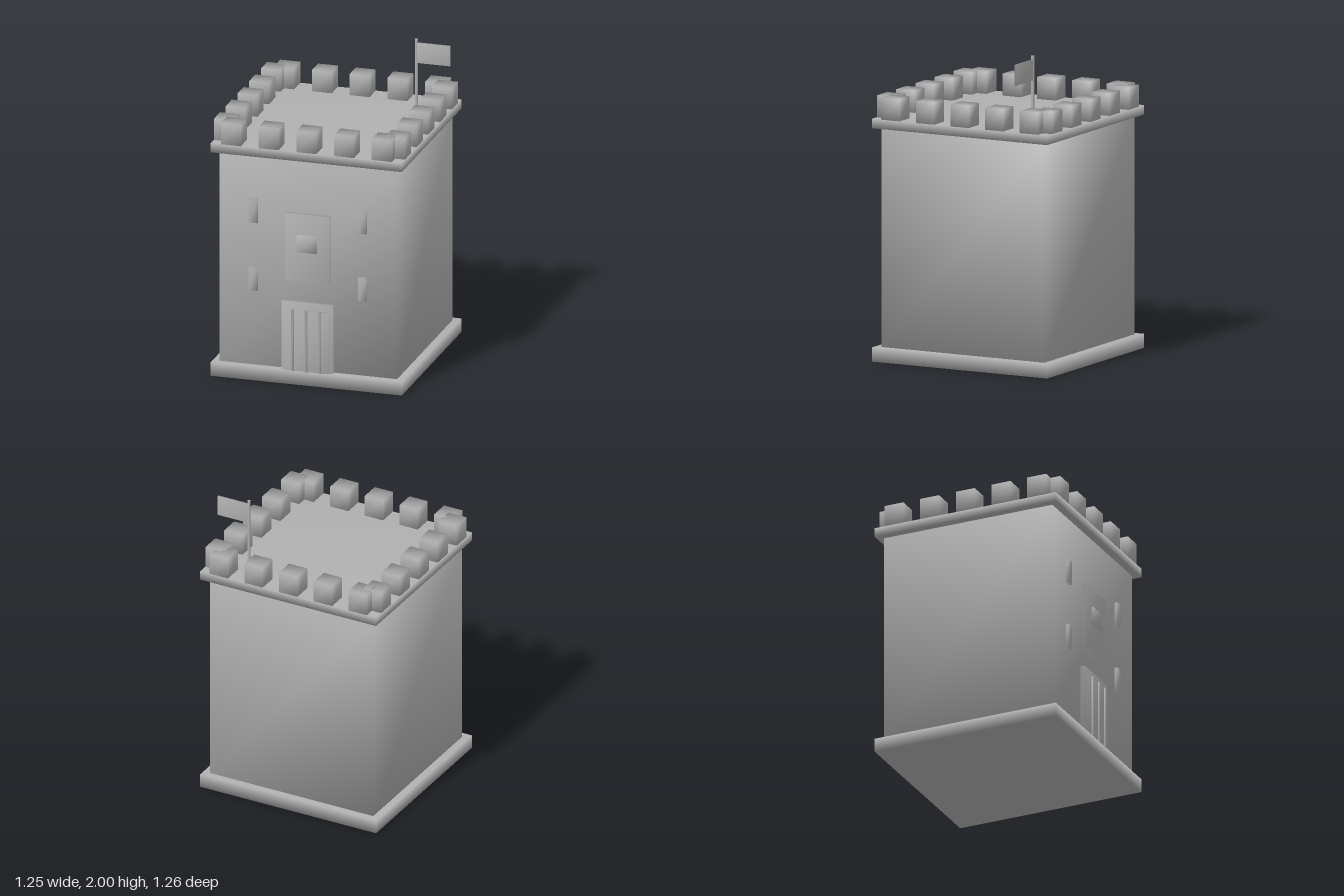
import * as THREE from 'three';
import { mergeVertices } from 'three/addons/utils/BufferGeometryUtils.js';

const stone = new THREE.MeshStandardMaterial({ color: 0xb0b0b0 });
stone.name = 'grey stone';

// Box given by its min and max corners, with normals smoothed over the shared corners
function block(parent, name, [x0, y0, z0], [x1, y1, z1]) {
  let geo = new THREE.BoxGeometry(x1 - x0, y1 - y0, z1 - z0);
  geo.deleteAttribute('normal');
  geo.deleteAttribute('uv');
  geo = mergeVertices(geo);
  geo.computeVertexNormals();
  const mesh = new THREE.Mesh(geo, stone);
  mesh.name = name;
  mesh.position.set((x0 + x1) / 2, (y0 + y1) / 2, (z0 + z1) / 2);
  parent.add(mesh);
  return mesh;
}

export function createModel() {
  const tower = new THREE.Group();
  tower.name = 'castleTower';

  const half = 0.627, wall = 0.583;
  const baseTop = 0.09, wallTop = 1.485, roof = 1.545;

  // Plinth, main walls and roof slab
  block(tower, 'base', [-half, 0, -half], [half, baseTop, half]);
  block(tower, 'walls', [-wall, baseTop, -wall], [wall, wallTop, wall]);
  block(tower, 'roofSlab', [-half, wallTop, -half], [half, roof, half]);

  // Five merlons along each side; the end ones overlap at the corners
  const battlements = new THREE.Group();
  battlements.name = 'battlements';
  tower.add(battlements);
  const s = 0.0655, rim = half - s, merlonTop = 1.685;
  for (let i = -2; i <= 2; i++) {
    const t = i * 0.2475;
    for (const side of [-1, 1]) {
      for (const [x, z] of [[t, side * rim], [side * rim, t]]) {
        block(battlements, 'merlon', [x - s, roof, z - s], [x + s, merlonTop, z + s]);
      }
    }
  }

  // Gate: frame, door leaf and three vertical bars
  const gate = new THREE.Group();
  gate.name = 'gate';
  tower.add(gate);
  block(gate, 'doorFrame', [-0.168, baseTop, wall - 0.02], [0.168, 0.543, 0.612]);
  block(gate, 'door', [-0.145, baseTop, wall], [0.145, 0.494, 0.626]);
  for (const x of [-0.09, 0, 0.09]) {
    block(gate, 'doorBar', [x - 0.008, baseTop, 0.6], [x + 0.008, 0.494, 0.634]);
  }

  // Wall panel with a small raised block
  block(tower, 'wallPanel', [-0.145, 0.677, wall - 0.02], [0.145, 1.126, 0.608]);
  block(tower, 'panelBoss', [-0.066, 0.878, wall], [0.066, 0.992, 0.62]);

  // Arrow slits
  for (const x of [-0.358, 0.358]) {
    for (const y of [0.665, 1.114]) {
      block(tower, 'arrowSlit', [x - 0.028, y - 0.079, wall - 0.02], [x + 0.028, y + 0.079, 0.6]);
    }
  }

  // Flag on its pole
  const flag = new THREE.Group();
  flag.name = 'flag';
  flag.position.set(0.403, 0, -0.4);
  tower.add(flag);
  const pole = new THREE.Mesh(new THREE.CylinderGeometry(0.01, 0.01, 2 - roof, 12), stone);
  pole.name = 'flagPole';
  pole.position.y = (2 + roof) / 2;
  flag.add(pole);
  block(flag, 'banner', [0.005, 1.843, -0.0065], [0.222, 1.976, 0.0065]);

  // Balance the front relief so the whole is centred in depth
  tower.position.z = -0.0035;
  const root = new THREE.Group();
  root.name = 'model';
  root.add(tower);
  return root;
}
